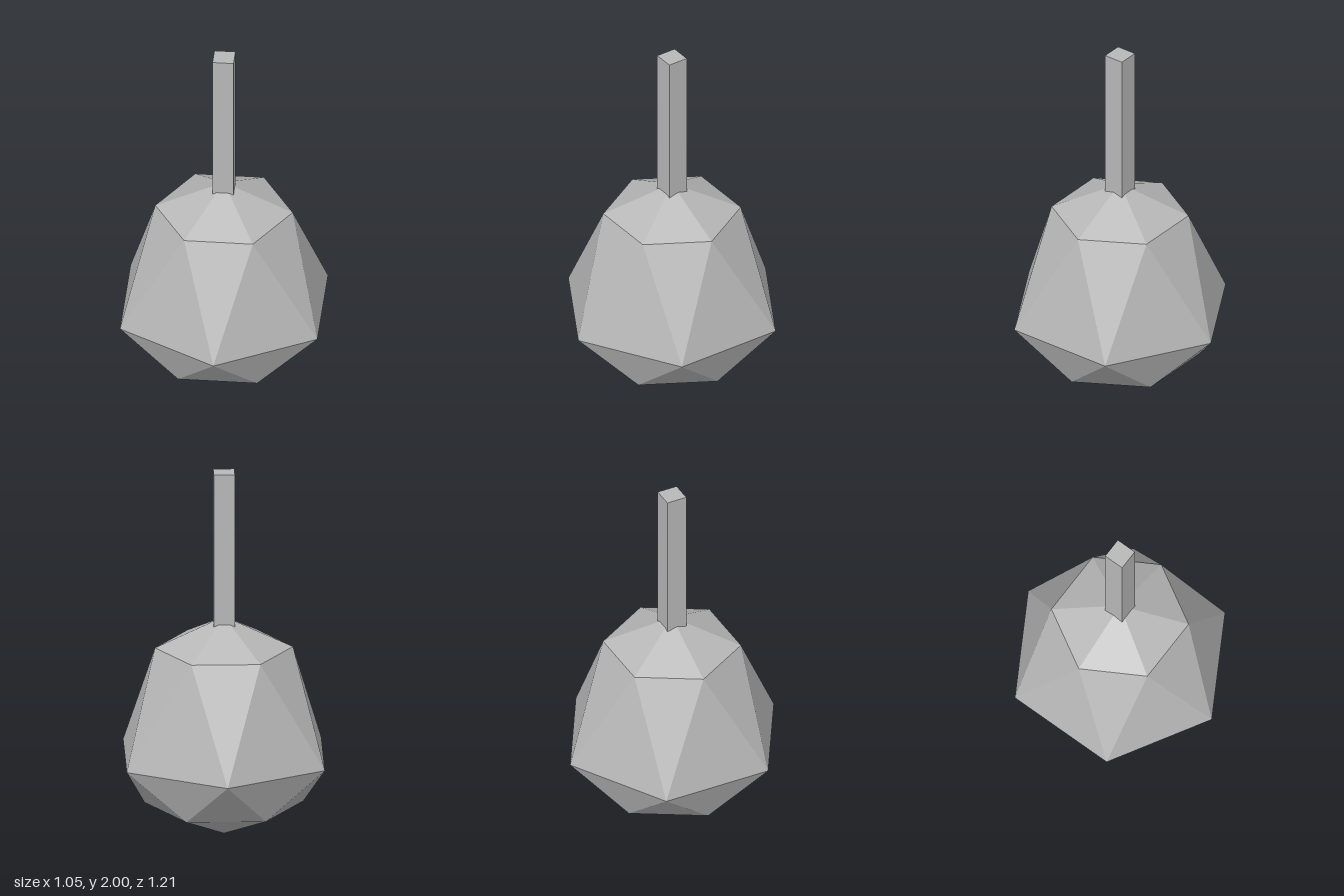
import * as THREE from 'three';

const SIDES = 6;

// Staggered rings (radius, height, angular offset in half steps) from bottom to top
const RINGS = [
  { r: 0.42, y: 0.175, shift: 0 },
  { r: 0.605, y: 0.435, shift: 1 },
  { r: 0.365, y: 1.03, shift: 0 },
];
const BOTTOM_Y = 0;
const TOP_Y = 1.2;

function ringPoint(ring, i) {
  const a = ((i + ring.shift / 2) / SIDES) * Math.PI * 2;
  return [Math.cos(a) * ring.r, ring.y, Math.sin(a) * ring.r];
}

function facetedHead() {
  const pos = [];
  const tri = (a, b, c) => pos.push(...a, ...b, ...c);
  const [low, mid, high] = RINGS;
  for (let i = 0; i < SIDES; i++) {
    // bottom and top fans
    tri([0, BOTTOM_Y, 0], ringPoint(low, i), ringPoint(low, i + 1));
    tri([0, TOP_Y, 0], ringPoint(high, i + 1), ringPoint(high, i));
    // lower band
    tri(ringPoint(low, i), ringPoint(mid, i), ringPoint(low, i + 1));
    tri(ringPoint(low, i + 1), ringPoint(mid, i), ringPoint(mid, i + 1));
    // upper band
    tri(ringPoint(high, i), ringPoint(high, i + 1), ringPoint(mid, i));
    tri(ringPoint(high, i + 1), ringPoint(mid, i + 1), ringPoint(mid, i));
  }
  const geo = new THREE.BufferGeometry();
  geo.setAttribute('position', new THREE.Float32BufferAttribute(pos, 3));
  geo.computeVertexNormals();
  return geo;
}

export function createModel() {
  const group = new THREE.Group();
  const grey = new THREE.MeshStandardMaterial({ color: 0xb8b8b8 });
  grey.name = 'grey';

  // Faceted body
  const head = new THREE.Mesh(facetedHead(), grey);
  head.name = 'facetedBody';
  group.add(head);

  // Square stem, sunk slightly into the body
  const base = 1.15;
  const stem = new THREE.Mesh(new THREE.BoxGeometry(0.112, 2 - base, 0.112), grey);
  stem.position.y = (2 + base) / 2;
  stem.name = 'stem';
  group.add(stem);

  return group;
}
